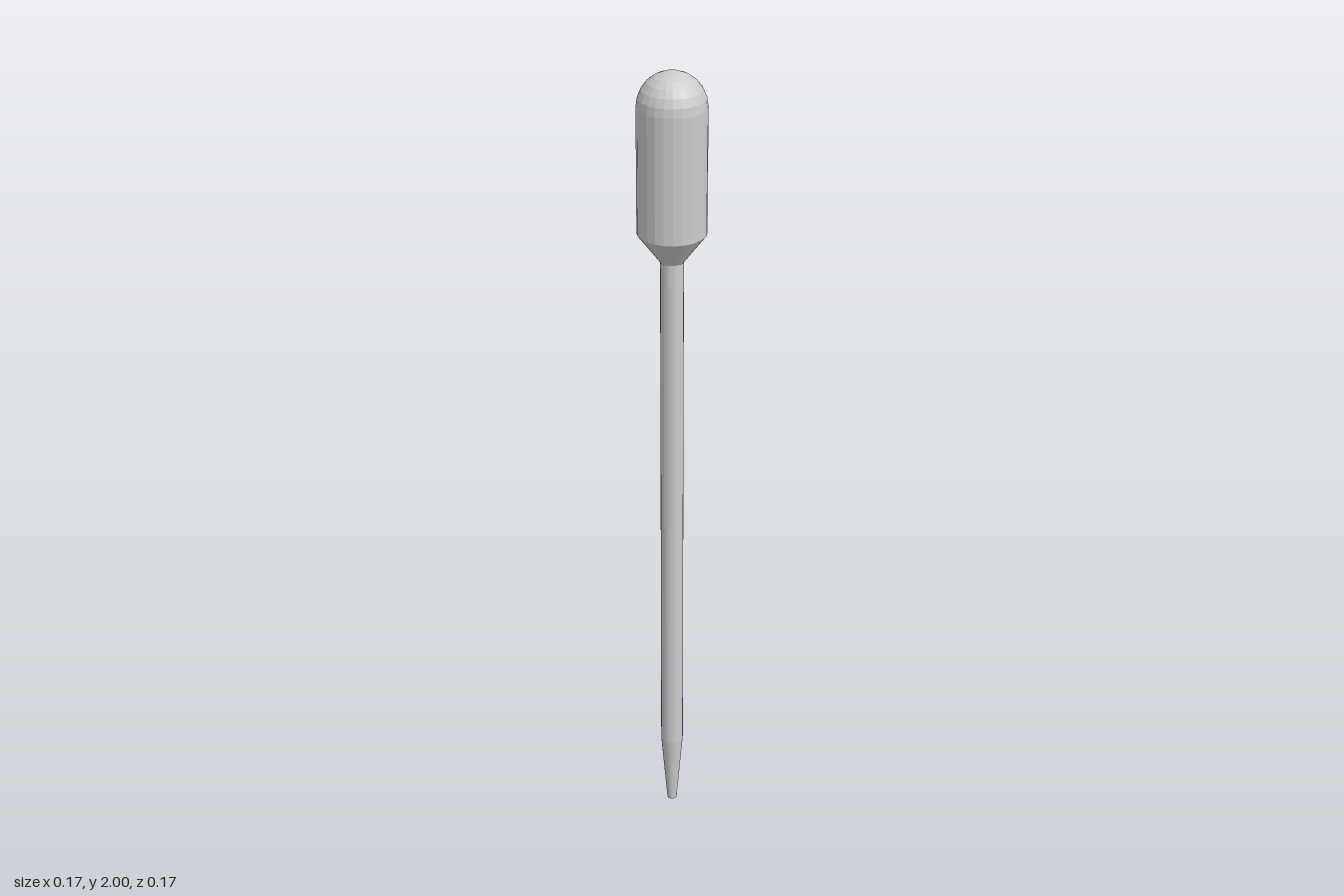
import * as THREE from 'three';

const SIDES = 24;
const BULB_R = 0.083, STEM_R = 0.028, TIP_R = 0.012;
const TIP_TOP = 0.19, STEM_TOP = 1.535, BULB_BASE = 1.608, DOME_BASE = 2 - BULB_R;

export function createModel() {
  const group = new THREE.Group();
  const material = new THREE.MeshStandardMaterial({ color: 0xcccccc, flatShading: true });

  // Turns a bottom-to-top profile of [radius, height] pairs around y
  function addTurned(name, profile) {
    const points = profile.map(([r, y]) => new THREE.Vector2(r, y));
    const mesh = new THREE.Mesh(new THREE.LatheGeometry(points, SIDES), material);
    mesh.name = name;
    group.add(mesh);
  }

  // Tapered tip, closed at the bottom
  addTurned('tip', [[0, 0], [TIP_R, 0], [STEM_R, TIP_TOP]]);

  // Long straight tube
  addTurned('stem', [[STEM_R, TIP_TOP], [STEM_R, STEM_TOP]]);

  // Cone that widens from the stem to the bulb
  addTurned('neck', [[STEM_R, STEM_TOP], [BULB_R, BULB_BASE]]);

  // Squeeze bulb: straight wall, then a rounded dome
  const bulb = [[BULB_R, BULB_BASE]];
  const rings = 6;
  for (let i = 0; i <= rings; i++) {
    const a = (i / rings) * Math.PI / 2;
    bulb.push([i === rings ? 0 : BULB_R * Math.cos(a), DOME_BASE + BULB_R * Math.sin(a)]);
  }
  addTurned('bulb', bulb);

  return group;
}
